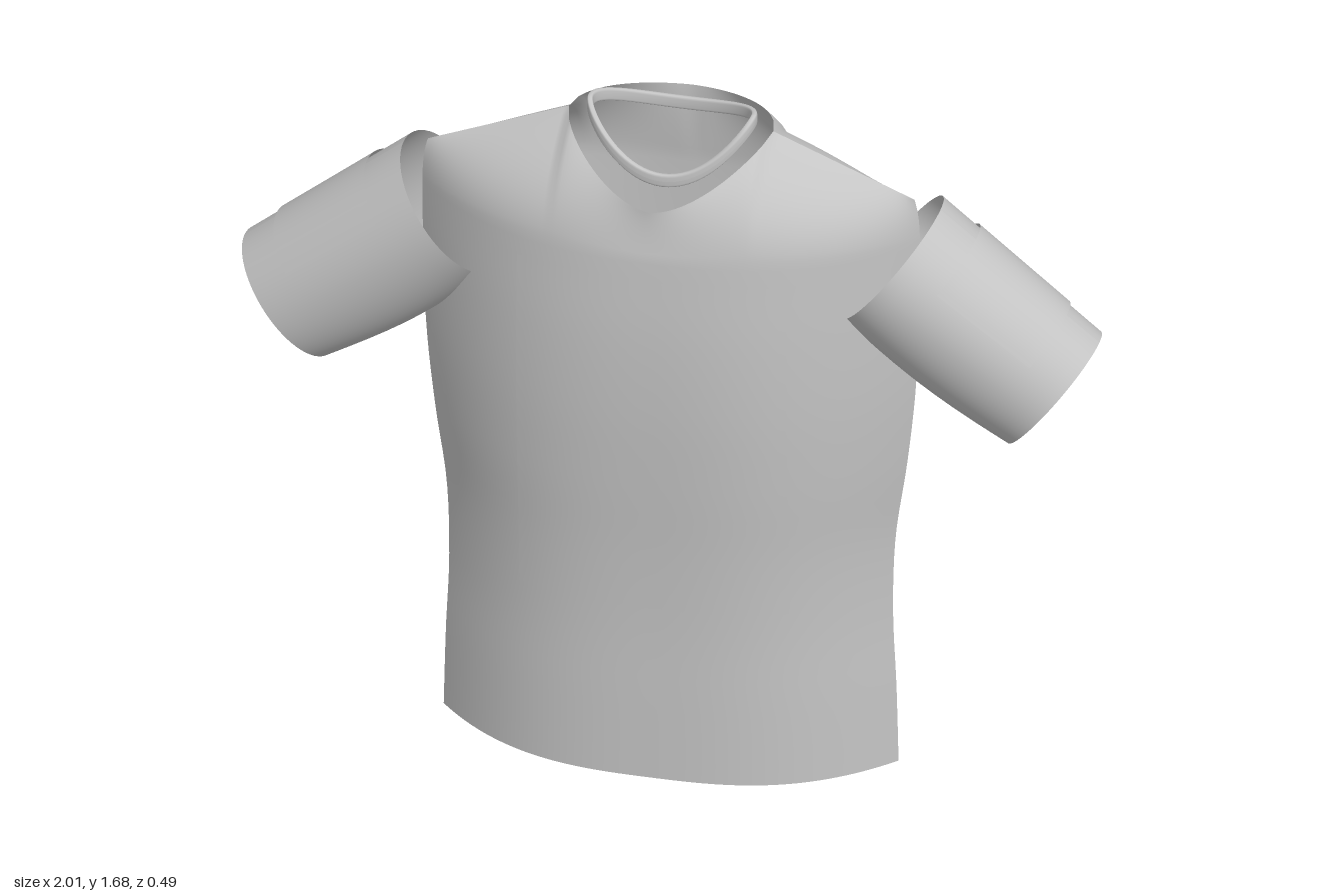
import * as THREE from 'three';

const fabric = new THREE.MeshStandardMaterial({ color: 0xc4c4c4, side: THREE.DoubleSide });
fabric.name = 'grey fabric';

// Smooth surface from a rule f(u, v) -> [x, y, z], with u and v from 0 to 1
function sheet(name, f, nu, nv) {
  const pos = [], idx = [];
  for (let j = 0; j <= nv; j++)
    for (let i = 0; i <= nu; i++) pos.push(...f(i / nu, j / nv));
  for (let j = 0; j < nv; j++)
    for (let i = 0; i < nu; i++) {
      const a = j * (nu + 1) + i, b = a + 1, c = a + nu + 1, d = c + 1;
      idx.push(a, b, d, a, d, c);
    }
  const g = new THREE.BufferGeometry();
  g.setAttribute('position', new THREE.Float32BufferAttribute(pos, 3));
  g.setIndex(idx);
  g.computeVertexNormals();
  const mesh = new THREE.Mesh(g, fabric);
  mesh.name = name;
  return mesh;
}

// Half width, front depth and back depth of the torso, every 0.2 up to y = 1.4
const CHEST = 1.4, NECK = 0.24, SHOULDER = 0.572;
const profile = new THREE.CatmullRomCurve3([
  [0.535, 0.205, 0.222], [0.53, 0.205, 0.222], [0.522, 0.205, 0.222], [0.528, 0.212, 0.225],
  [0.555, 0.225, 0.23], [0.575, 0.235, 0.235], [0.583, 0.236, 0.237], [0.585, 0.226, 0.235],
].map(p => new THREE.Vector3(...p)), false, 'catmullrom', 0.5);

const widthAt = y => profile.getPoint(y / CHEST).x;

// Depth of the lens-shaped section at x, y; side is 1 for front, -1 for back
function depthAt(x, y, side) {
  const p = profile.getPoint(y / CHEST);
  const u = Math.min(1, Math.abs(x) / p.x);
  const power = 2.8 - 0.3 * THREE.MathUtils.smoothstep(y, 0.6, CHEST);
  return (side > 0 ? p.y : p.z) * (1 - Math.pow(u, power));
}

// Upper edge of a torso panel: shoulder seam outside, neckline inside
function topEdge(x, side) {
  const a = Math.abs(x);
  if (a >= NECK - 1e-4) {
    const t = (a - NECK) / (SHOULDER - NECK);
    return [1.648 - 0.136 * t, 0];
  }
  const r = Math.pow(1 - Math.pow(a / NECK, 1.7), 1 / 1.7);
  return [1.648 - (side > 0 ? 0.128 : 0.043) * Math.pow(r, 1.8), (side > 0 ? 0.21 : 0.222) * r];
}

// Torso half: straight-sided up to the chest, then curving in to the top edge
function torsoPoint(s, v, side) {
  const u = (s * 2 - 1) * side, split = 0.65;
  if (v <= split) {
    const y = CHEST * v / split, x = u * widthAt(y);
    return [x, y, side * depthAt(x, y, side)];
  }
  const t = (v - split) / (1 - split), k = 1 - t;
  const x0 = u * widthAt(CHEST), x1 = u * SHOULDER;
  const z0 = depthAt(x0, CHEST, side);
  const [y1, z1] = topEdge(x1, side);
  const yc = CHEST + 0.65 * (y1 - CHEST), zc = Math.max(z0 * 0.93, z1);
  const x = x0 + (x1 - x0) * t * t;
  return [x, k * k * CHEST + 2 * k * t * yc + t * t * y1,
    side * (k * k * z0 + 2 * k * t * zc + t * t * z1)];
}

// Thin rectangular print area following the torso
function panelPoint(s, v, side) {
  const x = (s * 2 - 1) * 0.318 * side, y = 0.46 + 0.89 * v;
  return [x, y, side * (depthAt(x, y, side) + 0.008)];
}

// Sleeve: tapered oval tube sloping outwards; angle 0 is its upper side
const inner = new THREE.Vector2(0.52, 1.345), outer = new THREE.Vector2(0.9, 1.05);
const axis = outer.clone().sub(inner).normalize();
function sleevePoint(angle, t, dir, lift = 0) {
  const c = Math.cos(angle), s = Math.sin(angle);
  const sag = c < 0 ? 0.018 * Math.sin(Math.PI * t) : 0;
  const up = (0.182 - 0.01 * t + sag + lift) * c;
  const z = (0.177 - 0.025 * t + lift) * s - 0.008;
  const p = inner.clone().lerp(outer, t);
  return [dir * (p.x - axis.y * up), p.y + axis.x * up, z];
}

// Collar: upright band around an oval, dipping at the front
function collarPoint(s, v) {
  const a = -s * Math.PI * 2, b = v * Math.PI * 2;
  const sq = n => Math.sign(n) * Math.sqrt(Math.abs(n));
  const off = 0.007 * sq(Math.cos(b)), rise = 0.016 * sq(Math.sin(b));
  const sn = Math.sin(a), drop = (sn > 0 ? 0.13 : 0.036) * sn * sn;
  return [(0.192 + off) * Math.cos(a), 1.664 - drop + rise, -0.01 + (0.097 + off) * sn];
}

export function createModel() {
  const shirt = new THREE.Group();
  shirt.name = 'shirt';

  for (const [label, side] of [['front', 1], ['back', -1]]) {
    shirt.add(sheet(label + 'Body', (s, v) => torsoPoint(s, v, side), 100, 48));
    shirt.add(sheet(label + 'PrintPanel', (s, v) => panelPoint(s, v, side), 32, 24));
  }

  for (const [label, dir] of [['left', 1], ['right', -1]]) {
    const turn = Math.PI * 2 * dir, arc = 1.05 * dir;
    shirt.add(sheet(label + 'Sleeve',
      (s, v) => sleevePoint(s * turn, v, dir), 64, 12));
    // Patch over the upper side of the sleeve
    shirt.add(sheet(label + 'SleevePatch',
      (s, v) => sleevePoint((s * 2 - 1) * arc, 0.22 + 0.57 * v, dir, 0.006), 24, 8));
  }

  shirt.add(sheet('collar', collarPoint, 80, 16));
  return shirt;
}
